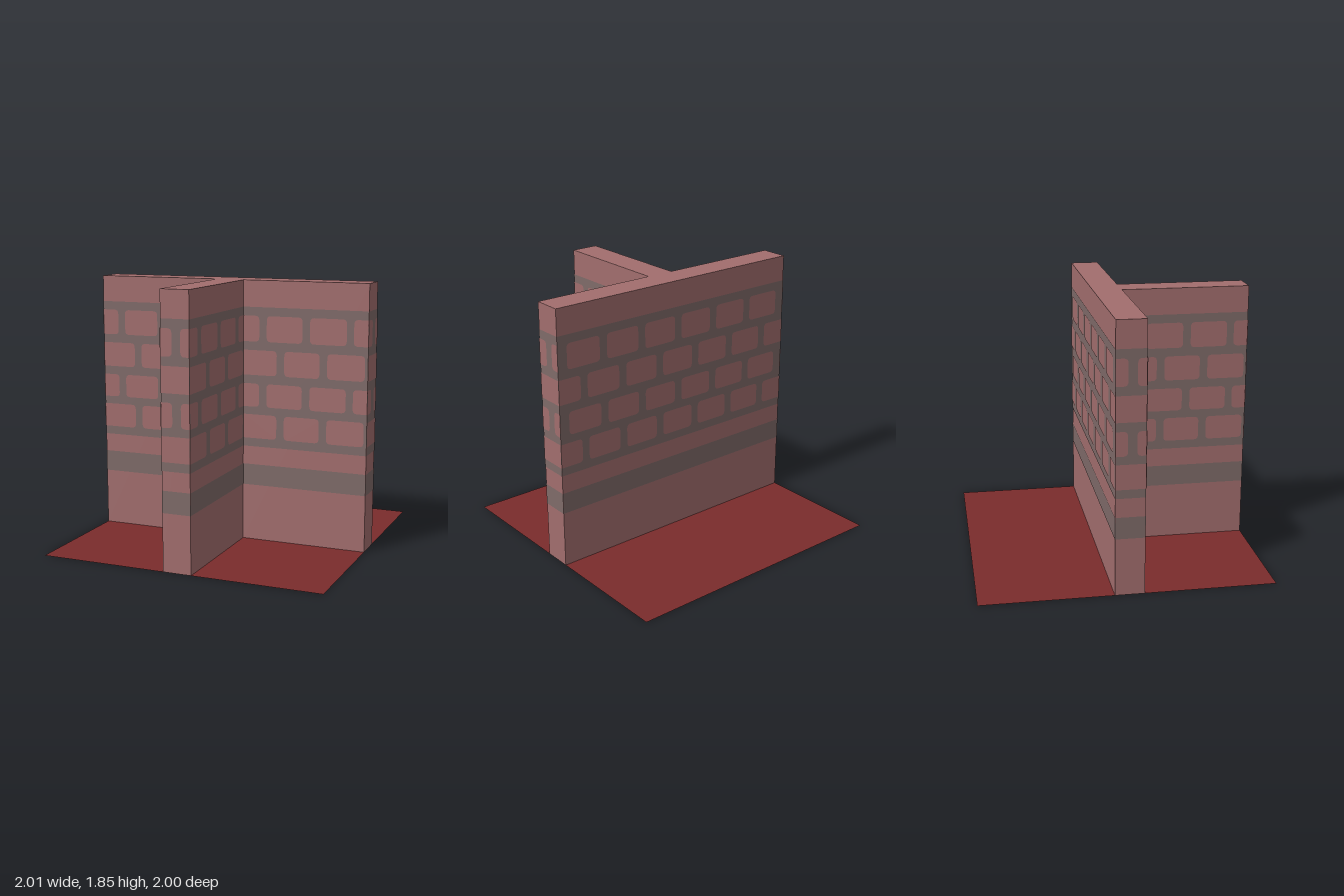
import * as THREE from 'three';

const HEIGHT = 1.85;

// T-shaped wall outline as [x, z] corners; every edge becomes one wall face
const OUTLINE = [
  [-1, 0.1], [-0.1, 0.1], [-0.1, 1], [0.1, 1],
  [0.1, 0.1], [1, 0.1], [1, -0.1], [-1, -0.1],
];

// Brick rows as [bottom, top], and brick spans measured from a face's left edge
const ROWS = [[0.74, 0.91], [0.965, 1.13], [1.19, 1.365], [1.425, 1.605]];
const SPANS = {
  end: [[[0, 0.2]], [[0, 0.08], [0.14, 0.2]]],
  side: [
    [[0, 0.25], [0.305, 0.56], [0.615, 0.88]],
    [[0, 0.12], [0.175, 0.435], [0.49, 0.75], [0.8, 0.9]],
  ],
  back: [
    [[0, 0.17], ...repeatSpans(0.225, 5), [1.82, 2]],
    repeatSpans(0.07, 6),
  ],
};

function repeatSpans(start, count) {
  return Array.from({ length: count }, (_, i) => {
    const left = start + i * 0.319;
    return [left, left + 0.26];
  });
}

// Rounded rectangle whose left or right side may be cut off square
function brickShape(x0, x1, y0, y1, rl, rr) {
  const s = new THREE.Shape();
  s.moveTo(x0 + rl, y0);
  s.lineTo(x1 - rr, y0);
  if (rr) s.quadraticCurveTo(x1, y0, x1, y0 + rr);
  s.lineTo(x1, y1 - rr);
  if (rr) s.quadraticCurveTo(x1, y1, x1 - rr, y1);
  s.lineTo(x0 + rl, y1);
  if (rl) s.quadraticCurveTo(x0, y1, x0, y1 - rl);
  s.lineTo(x0, y0 + rl);
  if (rl) s.quadraticCurveTo(x0, y0, x0 + rl, y0);
  return s;
}

export function createModel() {
  const model = new THREE.Group();
  model.name = 'brickWallCorner';

  const material = (name, color, side = THREE.FrontSide) => {
    const m = new THREE.MeshStandardMaterial({ color, side });
    m.name = name;
    return m;
  };
  const brick = material('brickPink', 0xa26e6e, THREE.DoubleSide);
  const mortar = material('mortarGrey', 0x7f6b69);
  const ground = material('floorRed', 0x7a2c2c, THREE.DoubleSide);

  const add = (parent, name, geometry, mat) => {
    const mesh = new THREE.Mesh(geometry, mat);
    mesh.name = name;
    parent.add(mesh);
    return mesh;
  };

  // Upright panel in a face's own plane, z lifts it off the wall
  const panel = (parent, name, width, y0, y1, z, mat) => {
    const geometry = new THREE.PlaneGeometry(width, y1 - y0);
    geometry.translate(width / 2, (y0 + y1) / 2, z);
    return add(parent, name, geometry, mat);
  };

  // Wall faces with painted stripe, mortar and bricks
  OUTLINE.forEach(([x, z], i) => {
    const [nx, nz] = OUTLINE[(i + 1) % OUTLINE.length];
    const length = Math.hypot(nx - x, nz - z);
    const face = new THREE.Group();
    face.name = 'wallFace' + (i + 1);
    face.position.set(x, 0, z);
    face.rotation.y = Math.atan2(z - nz, nx - x);
    model.add(face);

    panel(face, 'wall', length, 0, HEIGHT, 0, brick);
    panel(face, 'lowerStripe', length, 0.4, 0.55, 0.002, mortar);
    panel(face, 'mortarBand', length, 0.68, 1.665, 0.002, mortar);

    const spans = SPANS[length > 1.5 ? 'back' : length > 0.5 ? 'side' : 'end'];
    const shapes = ROWS.flatMap(([y0, y1], row) => spans[row % 2].map(([a, b]) =>
      brickShape(a, b, y0, y1, a > 0.001 ? 0.03 : 0, b < length - 0.001 ? 0.03 : 0)));
    const bricks = new THREE.ShapeGeometry(shapes, 4);
    bricks.translate(0, 0, 0.004);
    add(face, 'bricks', bricks, brick);
  });

  // Flat cap along the top of the walls; the underside stays open
  const capShape = new THREE.Shape(OUTLINE.map(([x, z]) => new THREE.Vector2(x, -z)));
  const cap = add(model, 'wallCap', new THREE.ShapeGeometry(capShape), brick);
  cap.rotation.x = -Math.PI / 2;
  cap.position.y = HEIGHT;

  // Floor panels around the walls: [name, centre x, centre z, width, depth]
  [
    ['backFloor', 0, -0.55, 2, 0.9],
    ['frontLeftFloor', 0.55, 0.55, 0.9, 0.9],
    ['frontRightFloor', -0.55, 0.55, 0.9, 0.9],
  ].forEach(([name, x, z, width, depth]) => {
    const floor = add(model, name, new THREE.PlaneGeometry(width, depth), ground);
    floor.rotation.x = -Math.PI / 2;
    floor.position.set(x, 0, z);
  });

  return model;
}
